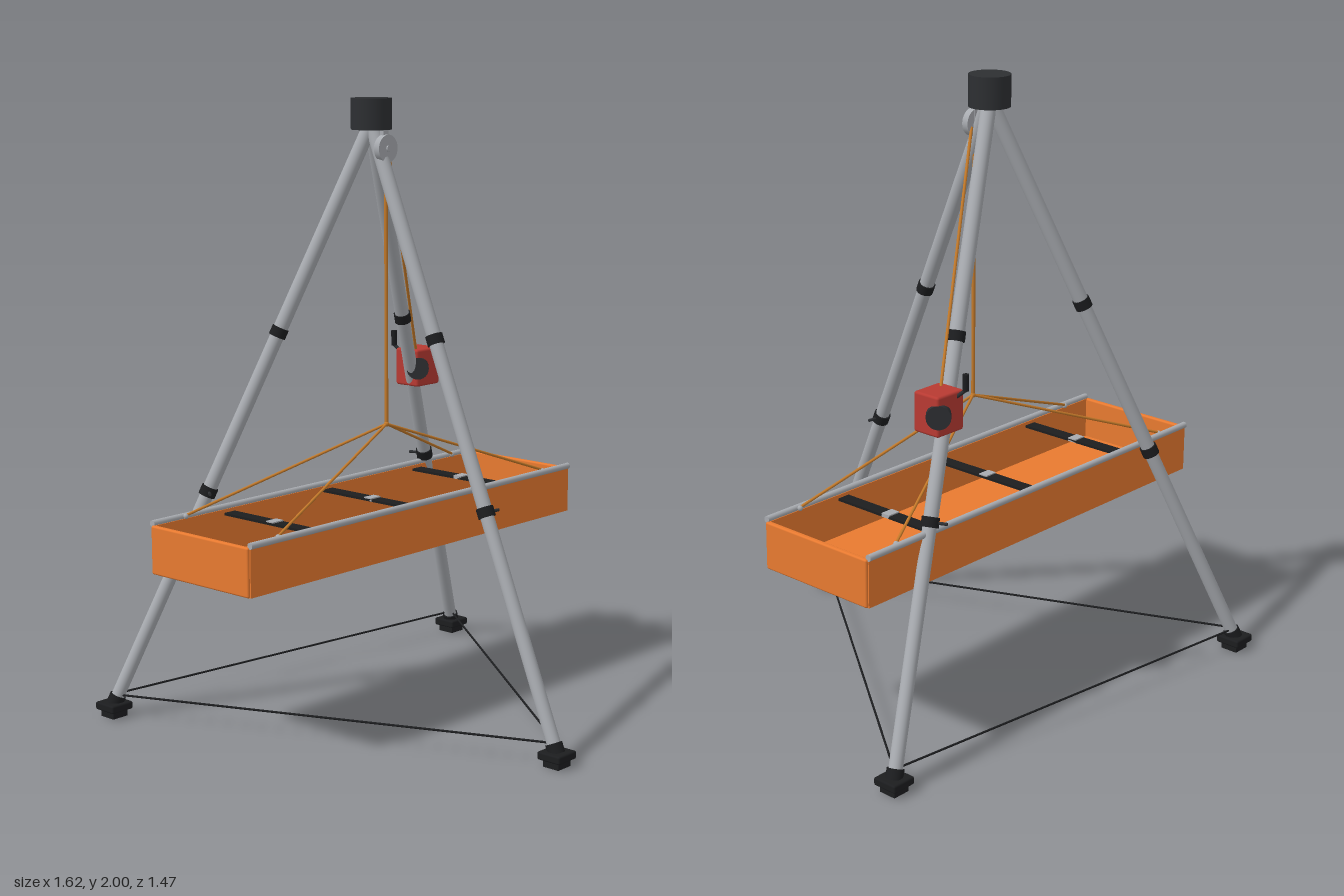
import * as THREE from 'three';
import { RoundedBoxGeometry } from 'three/addons/geometries/RoundedBoxGeometry.js';

const V = (x, y, z) => new THREE.Vector3(x, y, z);
const mat = (color) => new THREE.MeshStandardMaterial({ color });

export function createModel() {
  const model = new THREE.Group();
  const silver = mat(0xa8abb0), black = mat(0x1c1d1f), dark = mat(0x2d2f32);
  const orange = mat(0xe87a30), red = mat(0xb83a32), cord = mat(0xc47a2a);

  const add = (name, geometry, material, pos, parent = model) => {
    const m = new THREE.Mesh(geometry, material);
    m.name = name;
    m.position.copy(pos);
    parent.add(m);
    return m;
  };
  const box = (name, w, h, d, material, pos, parent) =>
    add(name, new THREE.BoxGeometry(w, h, d), material, pos, parent);
  // Round bar between two points
  const rod = (name, a, b, r, material, parent, sides = 20) => {
    const dir = b.clone().sub(a);
    const m = add(name, new THREE.CylinderGeometry(r, r, dir.length(), sides), material,
      a.clone().add(b).multiplyScalar(0.5), parent);
    m.quaternion.setFromUnitVectors(V(0, 1, 0), dir.normalize());
    return m;
  };

  // Head
  const cx = -0.033, cz = -0.168;
  const apex = V(cx, 1.92, cz);
  add('head', new THREE.CylinderGeometry(0.066, 0.066, 0.1, 40), dark, V(cx, 1.95, cz));

  // Telescopic legs with clamps, thumbscrews and feet
  const feet = [V(-0.72, 0.04, -0.69), V(0.763, 0.04, -0.51), V(-0.137, 0.04, 0.69)];
  feet.forEach((foot) => {
    const leg = new THREE.Group();
    leg.name = 'leg';
    model.add(leg);
    const at = (y) => foot.clone().lerp(apex, (y - foot.y) / (apex.y - foot.y));
    const along = apex.clone().sub(foot).normalize();
    rod('upperTube', at(1.25), apex, 0.024, silver, leg);
    rod('middleTube', at(0.74), at(1.25), 0.023, silver, leg);
    rod('lowerTube', at(0.05), at(0.74), 0.022, silver, leg);
    for (const y of [1.255, 0.74]) {
      const c = at(y), half = along.clone().multiplyScalar(0.016);
      rod('clamp', c.clone().sub(half), c.clone().add(half), 0.028, black, leg);
    }
    const side = V(foot.z - cz, 0, -(foot.x - cx)).normalize();
    const c = at(0.74);
    rod('thumbscrew', c, c.clone().addScaledVector(side, 0.055), 0.005, dark, leg, 10);
    rod('ankle', at(0.04), at(0.07), 0.027, black, leg);
    add('footPlate', new RoundedBoxGeometry(0.087, 0.026, 0.087, 2, 0.006), black, V(foot.x, 0.036, foot.z), leg);
    box('footSole', 0.06, 0.025, 0.06, black, V(foot.x, 0.0125, foot.z), leg);
  });

  // Tether between the feet
  feet.forEach((f, i) => {
    const g = feet[(i + 1) % 3];
    rod('footTether', V(f.x, 0.073, f.z), V(g.x, 0.073, g.z), 0.0035, black, model, 8);
  });

  // Pulley under the head
  const pz = -0.106;
  rod('pulley', V(cx, 1.842, pz - 0.011), V(cx, 1.842, pz + 0.011), 0.044, silver, model, 32);
  rod('pulleyAxle', V(cx, 1.842, pz - 0.016), V(cx, 1.842, pz + 0.016), 0.01, silver, model);
  box('pulleyHanger', 0.025, 0.07, 0.014, silver, V(cx, 1.875, pz - 0.006));

  // Hoist rope and bridle
  const knot = V(cx, 0.95, pz);
  rod('hoistRope', V(cx, 1.84, pz), knot, 0.006, cord, model, 10);
  rod('winchRope', V(-0.01, 1.83, -0.115), V(0.36, 1.11, -0.325), 0.005, cord, model, 10);
  add('knot', new THREE.SphereGeometry(0.009, 12, 8), cord, knot);
  for (const x of [-0.672, 0.608]) for (const z of [-0.376, 0.034]) {
    rod('bridleRope', knot, V(x, 0.715, z), 0.0045, cord, model, 10);
    add('bridleEye', new THREE.SphereGeometry(0.009, 12, 8), silver, V(x, 0.712, z));
  }

  // Winch on the left leg
  const winch = new THREE.Group();
  winch.name = 'winch';
  winch.position.set(0.385, 1.066, -0.342);
  model.add(winch);
  add('winchBody', new RoundedBoxGeometry(0.115, 0.128, 0.1, 2, 0.008), red, V(0, 0, 0), winch);
  rod('winchDrum', V(-0.054, 0, 0.049), V(0.054, 0, -0.049), 0.038, dark, winch, 28);
  rod('crankArm', V(-0.03, 0.045, -0.045), V(-0.04, 0.07, -0.073), 0.006, dark, winch, 10);
  rod('crankGrip', V(-0.04, 0.068, -0.073), V(-0.04, 0.12, -0.073), 0.01, black, winch, 14);

  // Stretcher basket
  const basket = new THREE.Group();
  basket.name = 'stretcher';
  basket.position.set(cx, 0, -0.17);
  model.add(basket);
  box('floor', 1.54, 0.016, 0.43, orange, V(0, 0.558, 0), basket);
  for (const s of [-1, 1]) {
    box('sideWall', 1.54, 0.155, 0.014, orange, V(0, 0.6275, s * 0.212), basket);
    add('endWall', new RoundedBoxGeometry(0.018, 0.155, 0.43, 2, 0.006), orange, V(s * 0.769, 0.6275, 0), basket);
    rod('rail', V(-0.77, 0.71, s * 0.217), V(0.77, 0.71, s * 0.217), 0.0105, silver, basket);
  }
  // Patient straps and buckles
  for (const x of [-0.452, 0, 0.452]) {
    box('strap', 0.045, 0.008, 0.418, black, V(x, 0.69, 0), basket);
    box('buckle', 0.045, 0.012, 0.032, silver, V(x, 0.692, 0), basket);
  }
  return model;
}
